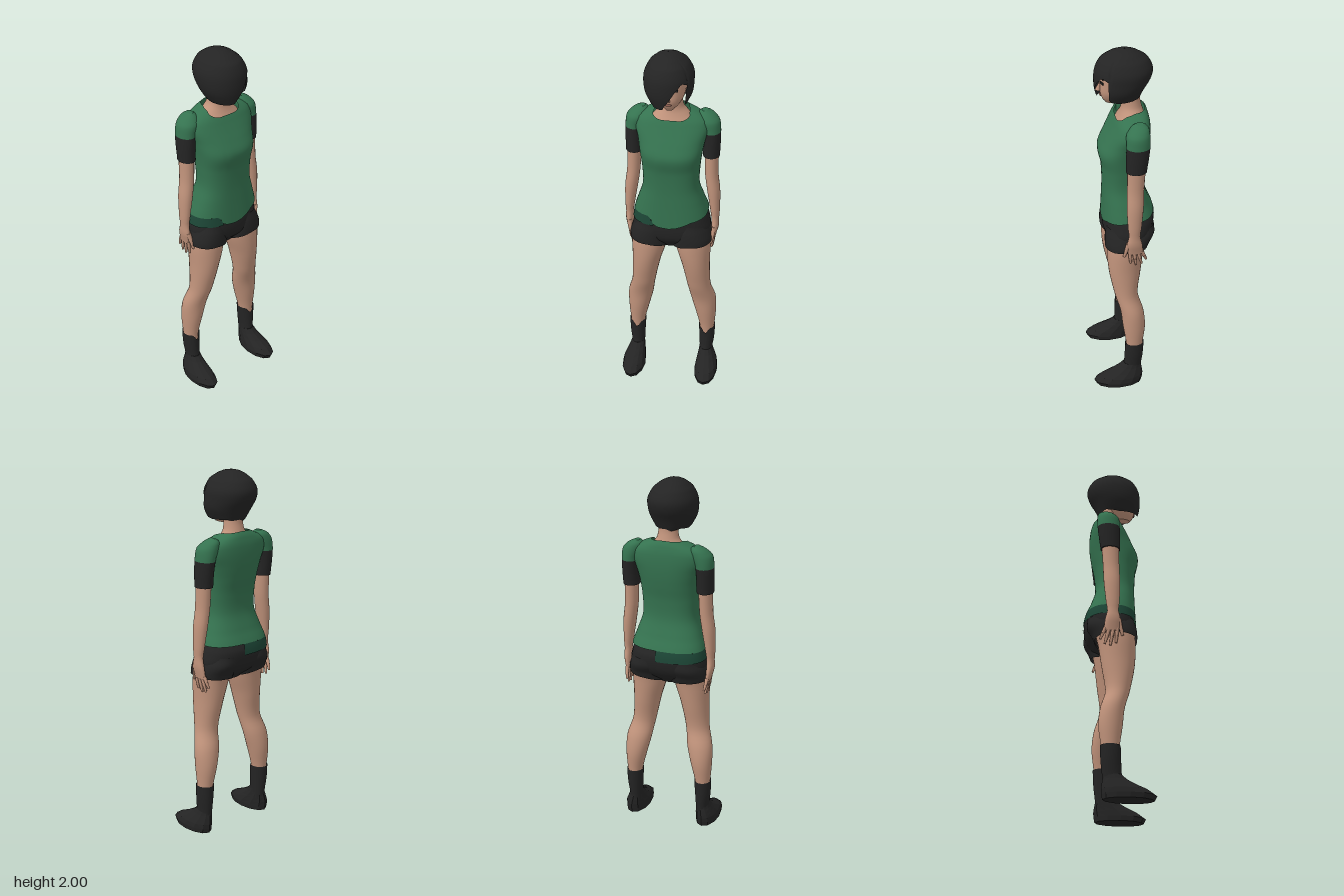
import * as THREE from 'three';

const mat = (name, color, both) => {
  const m = new THREE.MeshStandardMaterial({ color });
  m.name = name;
  if (both) m.side = THREE.DoubleSide;
  return m;
};

// Smooth interpolation of [y, centreX, halfWidth, zBack, zFront] rows at height y
function sectionAt(rows, y) {
  let i = 0;
  while (i < rows.length - 2 && y < rows[i + 1][0]) i++;
  const t = THREE.MathUtils.clamp((rows[i][0] - y) / (rows[i][0] - rows[i + 1][0]), 0, 1);
  const at = k => rows[THREE.MathUtils.clamp(k, 0, rows.length - 1)];
  return [1, 2, 3, 4].map(c => {
    const a = at(i - 1)[c], b = at(i)[c], d = at(i + 1)[c], e = at(i + 2)[c];
    const m0 = (d - a) / 2, m1 = (e - b) / 2;
    return b + t * m0 + t * t * (3 * (d - b) - 2 * m0 - m1) + t * t * t * (2 * (b - d) + m0 + m1);
  });
}

// Curve through [degrees, value] pairs
const byAngle = keys => a => {
  let i = 0;
  while (i < keys.length - 2 && a > keys[i + 1][0]) i++;
  const [a0, v0] = keys[i], [a1, v1] = keys[i + 1];
  return v0 + (v1 - v0) * (a - a0) / (a1 - a0);
};

// Skin over horizontal sections, listed from top to bottom.
// Angle 0 is +x, 90 is +z; top and hem may vary with the angle.
function loft(rows, { n = 28, steps = 24, side = 1, p = 2, top, hem, from = 0, to = 360, ease = 1, caps = true, flat = false } = {}) {
  const pos = [], idx = [], closed = to - from === 360;
  const cols = closed ? n : n + 1;
  const tri = (a, b, c) => (side > 0 ? idx.push(a, b, c) : idx.push(a, c, b));
  const pw = v => Math.sign(v) * Math.abs(v) ** (2 / p);
  for (let j = 0; j <= steps; j++) {
    for (let i = 0; i < cols; i++) {
      const deg = from + (to - from) * i / n, a = deg * Math.PI / 180;
      const y0 = top ? top(deg) : rows[0][0], y1 = hem ? hem(deg) : rows[rows.length - 1][0];
      const y = y0 + (y1 - y0) * (j / steps) ** ease;
      const [cx, rx, zb, zf] = sectionAt(rows, y);
      pos.push(side * (cx + rx * pw(Math.cos(a))), y, (zb + zf) / 2 + (zf - zb) / 2 * pw(Math.sin(a)));
    }
  }
  for (let j = 0; j < steps; j++) {
    for (let i = 0; i < n; i++) {
      const A = j * cols + i, B = j * cols + (i + 1) % cols;
      tri(A, B, A + cols);
      tri(B, B + cols, A + cols);
    }
  }
  if (caps && closed) {
    for (const j of [0, steps]) {
      const base = pos.length / 3, c = [0, 0, 0];
      for (let i = 0; i < n; i++) {
        for (let k = 0; k < 3; k++) {
          const v = pos[(j * cols + i) * 3 + k];
          pos.push(v);
          c[k] += v / n;
        }
      }
      pos.push(...c);
      for (let i = 0; i < n; i++) {
        const A = base + i, B = base + (i + 1) % n;
        if (j === 0) tri(base + n, B, A); else tri(base + n, A, B);
      }
    }
  }
  let g = new THREE.BufferGeometry();
  g.setAttribute('position', new THREE.Float32BufferAttribute(pos, 3));
  g.setIndex(idx);
  if (flat) g = g.toNonIndexed();
  g.computeVertexNormals();
  return g;
}

// Tapered rod between two points
function rod(a, b, r0, r1) {
  const A = new THREE.Vector3(...a), B = new THREE.Vector3(...b), d = B.clone().sub(A);
  const g = new THREE.CylinderGeometry(r1, r0, d.length(), 8);
  g.applyQuaternion(new THREE.Quaternion().setFromUnitVectors(new THREE.Vector3(0, 1, 0), d.normalize()));
  return g.translate(...A.add(B).multiplyScalar(0.5).toArray());
}

export function createModel() {
  const skin = mat('skin', 0xc2947c), green = mat('shirt green', 0x357350, true);
  const darkGreen = mat('dark green', 0x1d4737, true), black = mat('black cloth', 0x242424, true);
  const lip = mat('lip', 0x8f5f52);
  const model = new THREE.Group();
  const add = (name, geo, m, parent = model) => {
    const mesh = new THREE.Mesh(geo, m);
    mesh.name = name;
    parent.add(mesh);
    return mesh;
  };

  // Shirt with scooped neck and uneven hem
  const shirt = [
    [1.695, 0, .07, -.115, -.02], [1.68, 0, .09, -.13, -.005], [1.66, 0, .14, -.137, .015],
    [1.63, 0, .185, -.145, .035], [1.58, 0, .195, -.148, .06], [1.52, 0, .178, -.145, .092],
    [1.45, 0, .165, -.135, .122], [1.36, 0, .154, -.118, .106], [1.25, 0, .152, -.115, .1],
    [1.15, 0, .182, -.145, .102], [1.08, 0, .204, -.174, .105], [1.01, 0, .214, -.18, .108]];
  const hem = byAngle([[0, 1.09], [60, 1.06], [88, 1.02], [106, 1.03], [116, 1.085], [180, 1.085], [270, 1.09], [360, 1.09]]);
  const neckline = byAngle([[0, 1.683], [40, 1.67], [75, 1.638], [105, 1.638], [140, 1.67], [180, 1.683], [270, 1.69], [360, 1.683]]);
  add('shirt', loft(shirt, { n: 60, steps: 40, p: 2.5, top: neckline, hem, caps: false }), green);
  add('shirtUnderHem', loft(shirt, { n: 30, steps: 4, p: 2.5, top: hem, hem: () => 1.03, from: 108, to: 275 }), darkGreen);

  // Shorts seat
  add('shortsSeat', loft([
    [1.1, 0, .185, -.155, .09], [1.05, 0, .202, -.174, .098], [.98, 0, .212, -.165, .1],
    [.93, 0, .17, -.135, .088], [.87, 0, .05, -.07, .04]], { p: 2.4 }), black);

  // Neck and head
  add('neck', loft([[1.8, 0, .05, -.1, .01], [1.73, 0, .052, -.1, .0], [1.69, 0, .06, -.108, .0],
    [1.66, 0, .085, -.118, .008], [1.61, 0, .125, -.125, .03]]), skin);
  add('head', loft([
    [1.95, 0, .05, -.08, .06], [1.91, 0, .078, -.11, .095], [1.87, 0, .084, -.12, .106], [1.82, 0, .08, -.1, .107],
    [1.78, 0, .069, -.07, .107], [1.745, 0, .048, -.04, .097], [1.722, 0, .027, -.02, .08]], { p: 2.2 }), skin);
  add('nose', new THREE.ConeGeometry(.014, .06, 8).scale(1, 1, 1.1).rotateX(-.25).translate(0, 1.818, .11), skin);
  add('mouth', new THREE.SphereGeometry(1, 12, 6).scale(.02, .007, .006).translate(0, 1.764, .104), lip);

  // Asymmetric bob: swept fringe over the right side, open on the left
  const hairHem = byAngle([[0, 1.745], [20, 1.75], [30, 1.765], [35, 1.87], [52, 1.885], [70, 1.84], [85, 1.79],
    [100, 1.745], [115, 1.74], [180, 1.735], [225, 1.75], [270, 1.728], [315, 1.75], [360, 1.745]]);
  add('hair', loft([
    [2, -.02, .002, -.025, -.02], [1.994, -.018, .035, -.06, .025], [1.98, -.016, .065, -.095, .06],
    [1.95, -.014, .1, -.14, .105], [1.9, -.013, .126, -.165, .13], [1.85, -.013, .129, -.155, .137],
    [1.8, -.01, .121, -.125, .135], [1.75, -.008, .096, -.102, .125], [1.725, -.006, .08, -.09, .12]],
    { n: 72, steps: 28, hem: hairHem, ease: 1.6, caps: false, p: 2.1 }), black);

  for (const side of [1, -1]) {
    const half = new THREE.Group();
    half.name = side > 0 ? 'leftSide' : 'rightSide';
    model.add(half);
    const part = (name, rows, m, opts = {}) => add(name, loft(rows, { side, ...opts }), m, half);
    const X = x => side * x;

    // Eye and eyebrow
    const facing = (w, h, y) => new THREE.BoxGeometry(w, h, .006).rotateY(side * .3).translate(X(.036), y, .101);
    add('eye', facing(.03, .01, 1.843), black, half);
    add('eyebrow', facing(.036, .006, 1.868), black, half);

    // Sleeve: green cap over a black cuff
    const sleeve = [
      [1.668, .165, .015, -.095, -.05], [1.655, .172, .04, -.115, -.03], [1.62, .188, .057, -.123, -.003],
      [1.57, .203, .05, -.123, .0], [1.5, .208, .046, -.116, .002], [1.415, .207, .045, -.106, .002]];
    part('sleeveCap', sleeve, green, { hem: () => 1.555, steps: 12 });
    part('sleeveCuff', sleeve, black, { top: () => 1.555, steps: 8 });

    // Arm and hand
    part('arm', [
      [1.46, .208, .038, -.1, -.004], [1.3, .212, .036, -.092, -.003], [1.2, .225, .035, -.088, 0],
      [1.08, .235, .026, -.077, -.005], [1.03, .237, .021, -.07, -.01], [.98, .238, .02, -.082, 0],
      [.915, .23, .013, -.088, -.008]], skin, { n: 18 });
    const tips = [[.868, -.106], [.842, -.082], [.836, -.052], [.85, -.022]];
    tips.forEach(([y, z], i) => {
      const root = -.08 + i * .021, mid = [X(.228), (y + .93) / 2, (root + z) / 2];
      add('finger', rod([X(.231), .93, root], mid, .011, .0095), skin, half);
      add('fingertip', rod(mid, [X(.222), y, z], .0095, .006), skin, half);
    });
    add('thumb', rod([X(.236), .985, -.01], [X(.222), .895, .013], .014, .007), skin, half);

    // Shorts leg, with a hem dropping towards the crotch
    part('shortsLeg', [
      [1.03, .105, .085, -.165, .09], [.98, .11, .104, -.166, .1], [.93, .117, .111, -.138, .103],
      [.86, .118, .108, -.115, .1]], black,
    { p: 2.2, hem: byAngle([[0, .915], [90, .905], [180, .865], [270, .9], [360, .915]]), caps: false });

    // Leg
    part('leg', [
      [.97, .117, .1, -.125, .088], [.88, .122, .098, -.107, .093], [.75, .139, .078, -.09, .085],
      [.6, .158, .066, -.072, .056], [.5, .18, .071, -.1, .027], [.4, .194, .06, -.11, .015],
      [.28, .204, .042, -.096, -.002], [.2, .204, .035, -.088, -.005]], skin, { steps: 32 });

    // Boot shaft with a notched top, and faceted shoe
    part('bootShaft', [
      [.29, .204, .047, -.102, .005], [.2, .205, .043, -.098, .006], [.13, .202, .037, -.09, .01], [.08, .202, .037, -.085, .02]],
    black, { n: 24, steps: 6, caps: false, top: a => .287 - .04 * Math.max(0, 1 - Math.abs(a - 95) / 30) });
    part('shoe', [
      [.135, .202, .037, -.085, .012], [.1, .206, .046, -.09, .055], [.065, .212, .058, -.096, .125],
      [.04, .214, .066, -.096, .182], [.005, .213, .063, -.09, .172]], black, { n: 12, steps: 5, flat: true });
  }
  return model;
}
